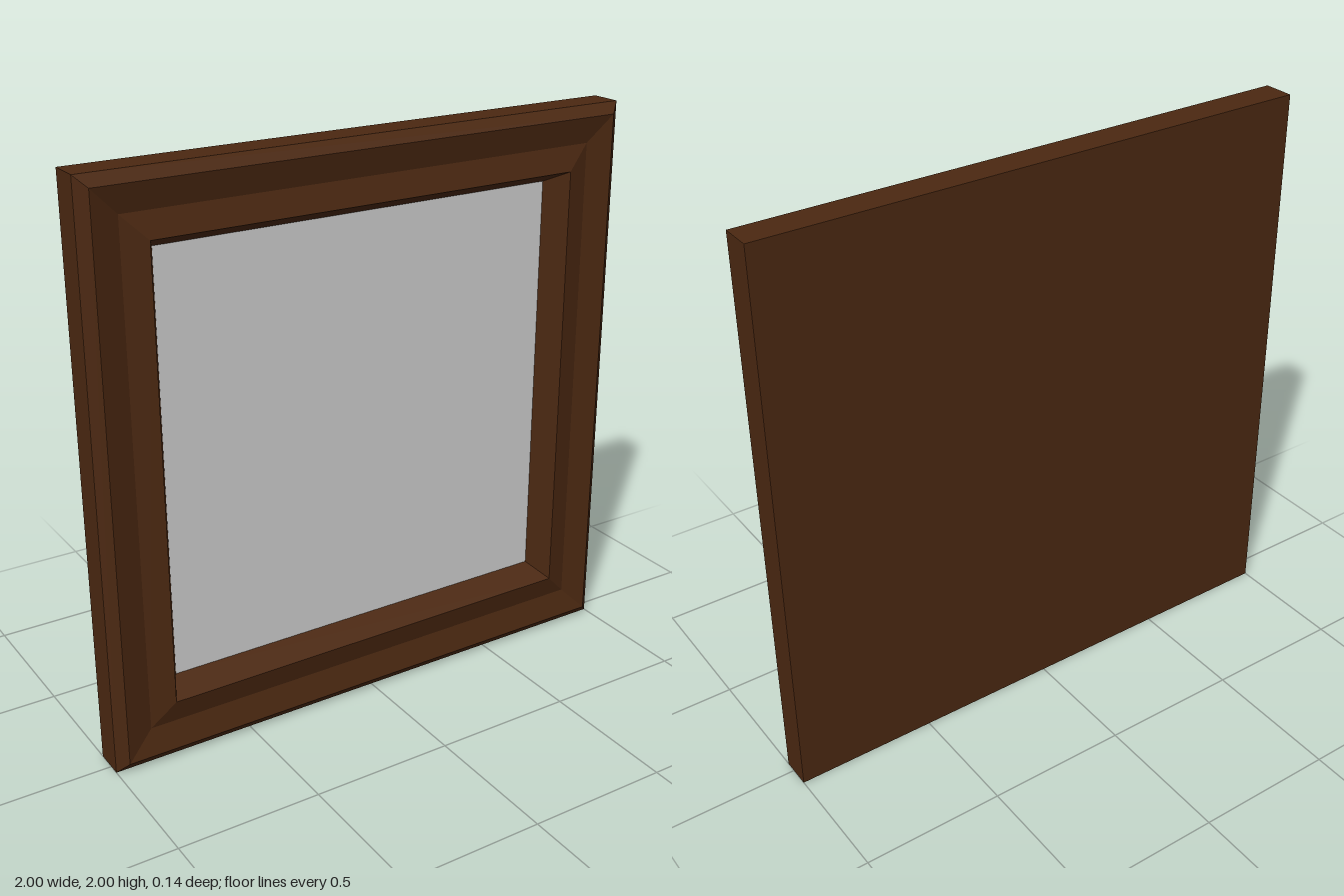
import * as THREE from 'three';

// Square rings: a four-sided lathe turned to face +z, points are [half width, z]
function squareLathe(profile) {
  const points = profile.map(([half, z]) => new THREE.Vector2(half * Math.SQRT2, z));
  const geometry = new THREE.LatheGeometry(points, 4, Math.PI / 4).toNonIndexed();
  geometry.rotateX(Math.PI / 2);
  geometry.computeVertexNormals();
  return geometry;
}

export function createModel() {
  const group = new THREE.Group();
  group.name = 'pictureFrame';

  const wood = new THREE.MeshStandardMaterial({ color: 0x4b2811, flatShading: true });
  const grey = new THREE.MeshStandardMaterial({ color: 0xcccccc });

  // Mitred moulding with closed back, outer chamfer, shallow cove and inner bevel
  const frame = new THREE.Mesh(squareLathe([
    [0, -0.07], [1, -0.07], [1, 0.04], [0.963, 0.072],
    [0.87, 0.048], [0.785, 0.072], [0.74, -0.02],
  ]), wood);
  frame.name = 'frame';
  frame.position.y = 1;
  group.add(frame);

  // Picture panel set into the frame
  const panel = new THREE.Mesh(new THREE.PlaneGeometry(1.48, 1.48), grey);
  panel.name = 'picturePanel';
  panel.position.set(0, 1, -0.02);
  group.add(panel);

  return group;
}
